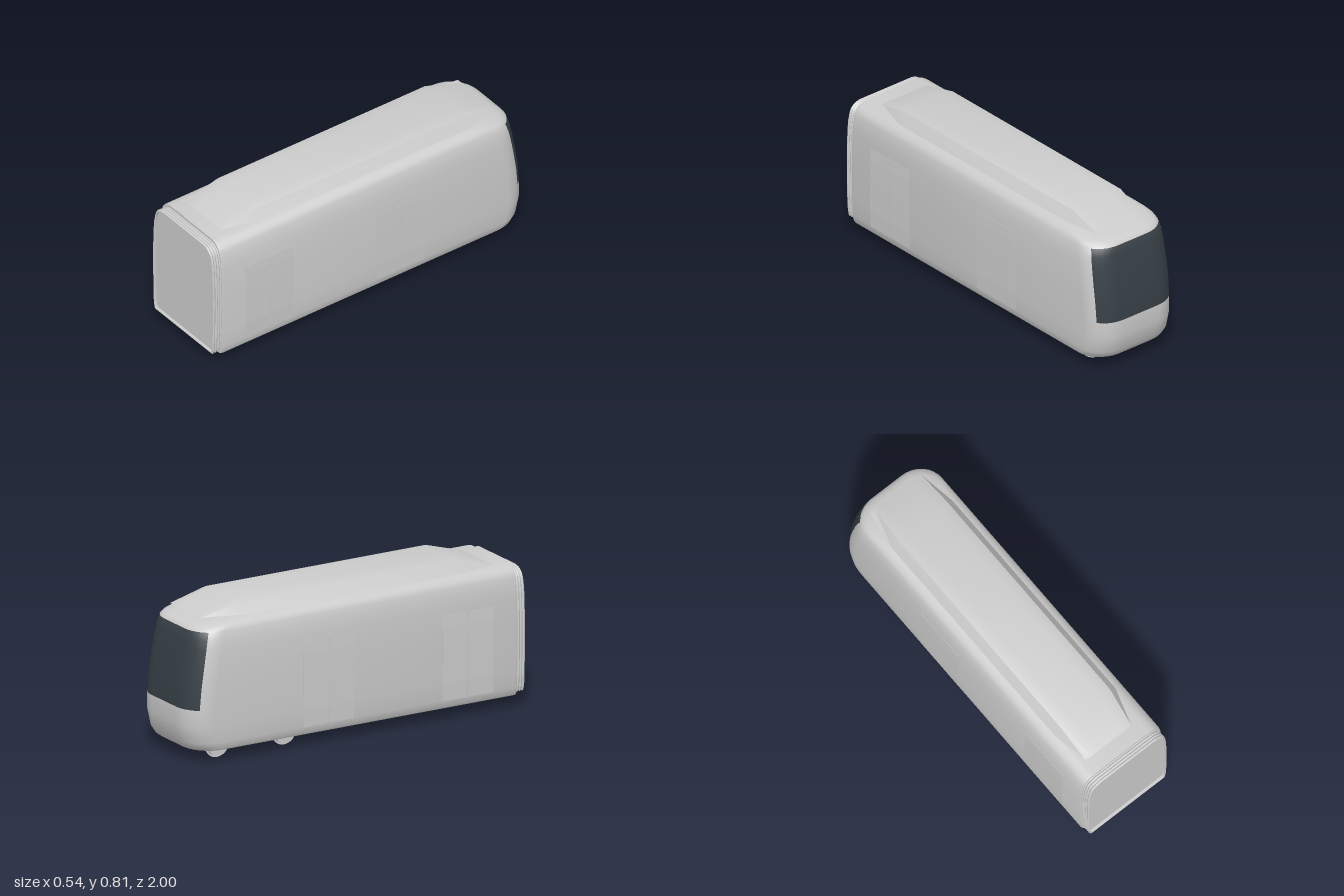
import * as THREE from 'three';
import { toCreasedNormals } from 'three/addons/utils/BufferGeometryUtils.js';

const paint = new THREE.MeshStandardMaterial({ color: 0xcccccc });
paint.name = 'light grey paint';
const glass = new THREE.MeshStandardMaterial({ color: 0x374046 });
glass.name = 'dark glass';

// Height stations of the shell: [y, half width, z of the nose]
const STATIONS = [
  [0.065, 0.25, -0.945], [0.075, 0.256, -0.958], [0.11, 0.262, -0.98], [0.2, 0.266, -0.998],
  [0.29, 0.267, -0.997], [0.4, 0.268, -0.987], [0.5, 0.267, -0.972], [0.6, 0.263, -0.955],
  [0.65, 0.258, -0.945], [0.69, 0.249, -0.933], [0.705, 0.244, -0.915], [0.717, 0.236, -0.885],
  [0.73, 0.222, -0.81], [0.74, 0.205, -0.75], [0.746, 0.18, -0.7],
];
const GLASS_BOTTOM = 0.29, GLASS_TOP = 0.69;
const ARC = 8, GLASS_STEP = 3;

function named(name, geometry, material = paint) {
  const m = new THREE.Mesh(geometry, material);
  m.name = name;
  return m;
}

// Skins a list of point rings; quads picked by isSecond go to the second material
function loft(rings, closed, isSecond = () => false, crease = 0.6) {
  const n = rings[0].length, lists = [[], []];
  for (let i = 0; i < rings.length - 1; i++) {
    for (let j = 0; j < (closed ? n : n - 1); j++) {
      const a = i * n + j, b = i * n + (j + 1) % n, c = b + n, d = a + n;
      lists[isSecond(i, j) ? 1 : 0].push(a, b, c, a, c, d);
    }
  }
  const g = new THREE.BufferGeometry().setFromPoints(rings.flat());
  g.setIndex([...lists[0], ...lists[1]]);
  g.addGroup(0, lists[0].length, 0);
  if (lists[1].length) g.addGroup(lists[0].length, lists[1].length, 1);
  return toCreasedNormals(g, crease);
}

// Plan outline of the shell at one height: rear left, round the nose, rear right
function planRing([y, w, nose]) {
  const rx = Math.min(0.15, w * 0.6), rz = 0.14;
  const half = [[w * 0.98, 0.95], [w, 0.935]];
  for (let k = 0; k <= ARC; k++) {
    const t = (k / ARC) * Math.PI / 2;
    half.push([w - rx + rx * Math.cos(t), nose + rz * (1 - Math.sin(t))]);
  }
  const other = half.map(([x, z]) => [-x, z]).reverse();
  return [...half, ...other].map(([x, z]) => new THREE.Vector3(x, y, z));
}

// Cross-section of the shell, scaled about its middle
function section(sx, sy = sx) {
  const right = STATIONS.map(([y, w]) => [w * sx, 0.406 + (y - 0.406) * sy]);
  return [...right, ...right.map(([x, y]) => [-x, y]).reverse()];
}
const sectionRing = (s, z) => section(s).map(([x, y]) => new THREE.Vector3(x, y, z));

function endPanel(name, sx, sy, z) {
  const pts = section(sx, sy).map(([x, y]) => new THREE.Vector2(x, y));
  const m = named(name, new THREE.ShapeGeometry(new THREE.Shape(pts)));
  m.position.z = z;
  return m;
}

function buildBody() {
  const first = STATIONS[0], last = STATIONS[STATIONS.length - 1];
  const rows = [[first[0], 0, first[2]], ...STATIONS, [0.747, 0, last[2]]];
  const rings = rows.map(planRing);
  const start = 2 + GLASS_STEP, end = rings[0].length - 1 - start;
  const isGlass = (i, j) =>
    rows[i][0] >= GLASS_BOTTOM && rows[i + 1][0] <= GLASS_TOP && j >= start && j < end;
  return named('bodyAndWindscreen', loft(rings, false, isGlass), [paint, glass]);
}

function buildGangway() {
  const g = new THREE.Group();
  g.name = 'gangway';
  // Pleats, then a rim that steps back to the end panel
  const rings = [];
  for (let k = 0; k <= 8; k++) rings.push(sectionRing(k % 2 ? 0.966 : 0.948, 0.94 + k * 0.0075));
  rings.push(sectionRing(0.932, 1), sectionRing(0.932, 0.985));
  g.add(named('bellows', loft(rings, true)));
  g.add(endPanel('gangwayPanel', 0.932, 0.932, 0.985));
  return g;
}

function buildRoofPod() {
  const half = [[0.2, 0], [0.162, 0.056], [0.15, 0.06], [0.125, 0.064], [0.09, 0.067]];
  const outline = [...half, ...half.map(([x, y]) => [-x, y]).reverse()];
  const ends = [[-0.86, 0.825, 0.03], [-0.65, 1, 1], [0.66, 1, 1], [0.87, 0.825, 0.03]];
  const rings = ends.map(([z, sx, sy]) =>
    outline.map(([x, y]) => new THREE.Vector3(x * sx, 0.743 + y * sy, z)));
  return named('roofPod', loft(rings, true, undefined, 0.45));
}

// Door leaf: a thin plate following the curve of the side
function doorLeaf(zMin, zMax) {
  const edge = [[0.105, 0.2615], ...STATIONS.filter(([y]) => y > 0.105 && y < 0.56), [0.56, 0.2646]];
  const outer = edge.map(([y, w]) => new THREE.Vector2(w + 0.0015, y));
  const inner = edge.map(([y, w]) => new THREE.Vector2(w - 0.003, y)).reverse();
  const shape = new THREE.Shape([...outer, ...inner]);
  const g = new THREE.ExtrudeGeometry(shape, { depth: zMax - zMin, bevelEnabled: false });
  return g.translate(0, 0, zMin);
}

function buildDoors() {
  const g = new THREE.Group();
  g.name = 'doors';
  for (const z of [0.5, -0.33]) {
    for (const offset of [0, 0.154]) {
      const leaf = doorLeaf(z + offset, z + offset + 0.148);
      const left = named('doorLeafLeft', leaf);
      const right = named('doorLeafRight', leaf);
      right.rotation.y = Math.PI;
      right.position.z = 2 * (z + offset + 0.074);
      g.add(left, right);
    }
  }
  return g;
}

function buildBogie() {
  const g = new THREE.Group();
  g.name = 'bogie';
  const frame = named('bogieFrame', new THREE.BoxGeometry(0.31, 0.02, 0.4));
  frame.position.set(0, 0.07, -0.585);
  g.add(frame);
  for (const z of [-0.385, -0.785]) {
    for (const side of [-1, 1]) {
      // Tread with a wider flange on the inner side
      const tread = named('wheelTread', new THREE.CylinderGeometry(0.057, 0.057, 0.026, 32));
      const flange = named('wheelFlange', new THREE.CylinderGeometry(0.067, 0.067, 0.007, 32));
      tread.rotation.z = flange.rotation.z = Math.PI / 2;
      tread.position.set(side * 0.17, 0.067, z);
      flange.position.set(side * 0.161, 0.067, z);
      g.add(tread, flange);
    }
  }
  return g;
}

export function createModel() {
  const model = new THREE.Group();
  model.name = 'railcar';
  model.add(buildBody(), endPanel('rearWall', 0.98, 1, 0.95), buildGangway(),
    buildRoofPod(), buildDoors(), buildBogie());
  return model;
}
